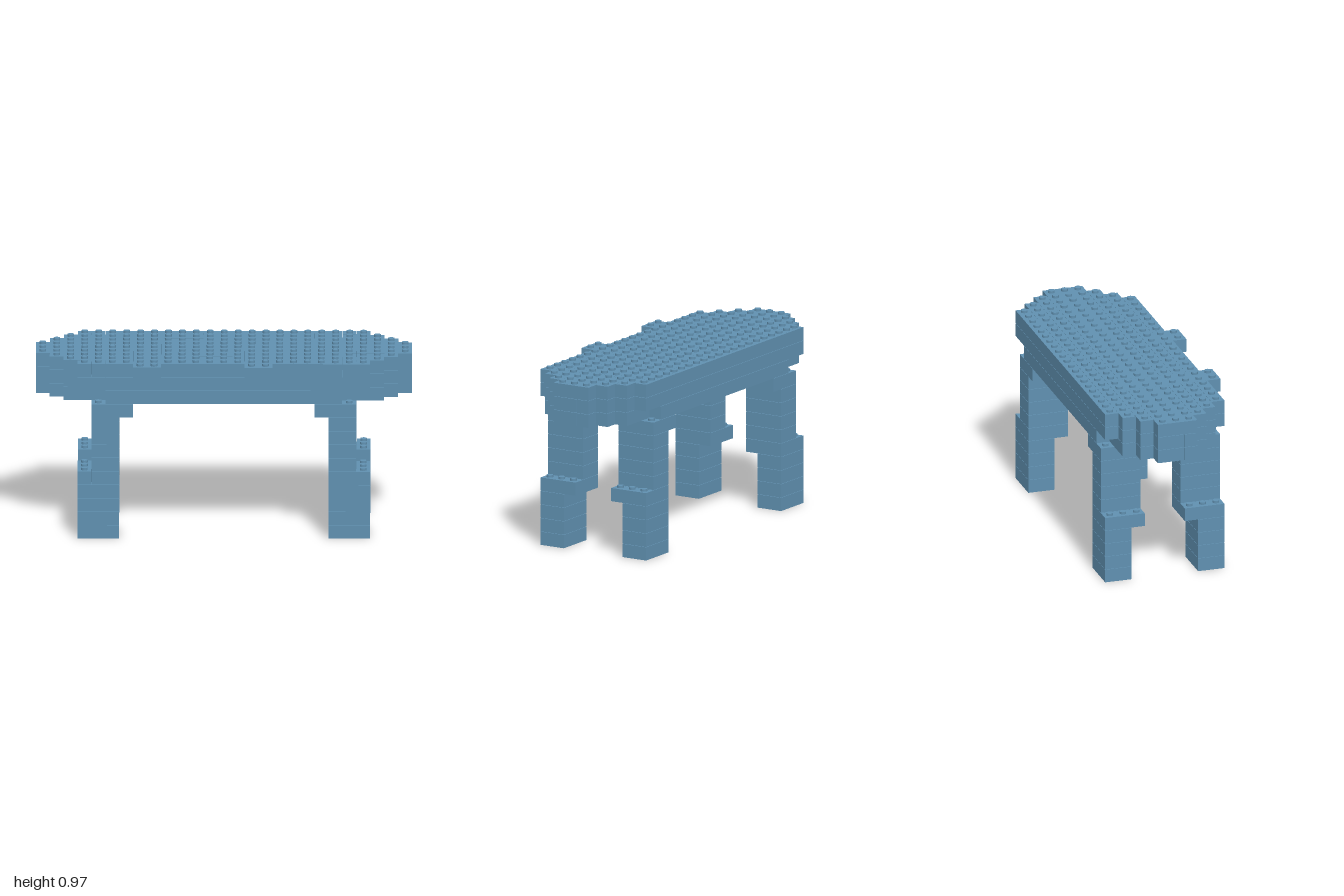
import * as THREE from 'three';
import { mergeGeometries } from 'three/addons/utils/BufferGeometryUtils.js';

const U = 2 / 27;      // one brick module
const GAP = 0.002;     // seam between bricks
const STUD_H = 0.012;

const blue = new THREE.MeshStandardMaterial({ color: 0x6090b0 });
blue.name = 'slate blue';

// Brick given by its bounds in modules, one layer high
function brick(x0, x1, layer, z0, z1) {
  return new THREE.BoxGeometry((x1 - x0) * U - GAP / 2, U - GAP, (z1 - z0) * U - GAP / 2)
    .translate((x0 + x1) / 2 * U, (layer + 0.5) * U, (z0 + z1) / 2 * U);
}

// Row of bricks divided at the listed x positions
function row(layer, z0, z1, cuts) {
  return cuts.slice(1).map((x, i) => brick(cuts[i], x, layer, z0, z1));
}

// Stud on top of a layer, at the centre of a module
function stud(x, top, z) {
  return new THREE.CylinderGeometry(0.0178, 0.0178, STUD_H + GAP, 16)
    .translate(x * U, top * U + (STUD_H - GAP) / 2, z * U);
}

function part(name, geometries) {
  const mesh = new THREE.Mesh(mergeGeometries(geometries), blue);
  mesh.name = name;
  return mesh;
}

// Stepped outline of the slab: half width for each one-module row from z = -5
const HALF = [10.5, 11.5, 12.5, 13.5, 13.5, 13.5, 12.5, 11.5, 10.5];

function topLayer() {
  const L = 12;
  return [
    // back edge
    ...row(L, -5, -4, [-10.5, -9.5, -8.5, -2.5, -1.5, 6.5]),
    ...row(L, -4, -3, [-11.5, 6.5]),
    brick(6.5, 8.5, L, -5, -3),
    ...row(L, -5, -4, [8.5, 9.5, 10.5]),
    brick(8.5, 11.5, L, -4, -3),
    // middle
    brick(-6.5, -4.5, L, -3, 5),
    ...[[-3, -2, 12.5], [-2, 1, 13.5], [1, 2, 12.5]].flatMap(([a, b, w]) => [
      brick(-w, -6.5, L, a, b),
      ...row(L, a, b, [-4.5, 1.5, 9.5, w]),
    ]),
    // front edge
    brick(1.5, 3.5, L, 2, 5),
    brick(-11.5, -6.5, L, 2, 3),
    brick(-4.5, 1.5, L, 2, 3),
    ...row(L, 2, 3, [3.5, 4.5, 8.5, 11.5]),
    ...row(L, 3, 4, [-10.5, -9.5, -8.5, -6.5]),
    brick(-4.5, 1.5, L, 3, 4),
    ...row(L, 3, 4, [3.5, 4.5, 8.5, 9.5, 10.5]),
  ];
}

function lowerLayers() {
  const out = [];
  HALF.forEach((w, i) => {
    const z = i - 5;
    const edge = i === 0 || i === 8;
    out.push(...row(11, z, z + 1, edge ? [-w, -8.5, w] : [-w, i % 2 ? -3.5 : 4.5, w]));
    // bottom layer is shorter along both long edges
    out.push(...row(10, z, z + 1, edge ? [-8.5, 8.5] : [-w, i % 2 ? 5.5 : -4.5, w]));
  });
  return out;
}

function topStuds() {
  const out = [];
  HALF.forEach((w, i) => {
    for (let x = -w + 0.5; x < w; x++) out.push(stud(x, 13, i - 4.5));
  });
  for (const x of [-6, -5, 2, 3]) out.push(stud(x, 13, 4.5));
  return out;
}

// side: +1 left, -1 right; outer and inner are the z limits of the leg
function leg(name, side, outer, inner) {
  const group = new THREE.Group();
  group.name = name;
  const dir = Math.sign(inner - outer);
  const box = (xa, xb, layer, za, zb) => brick(
    Math.min(side * xa, side * xb), Math.max(side * xa, side * xb), layer,
    Math.min(za, zb), Math.max(za, zb));

  const shin = [];
  for (let l = 0; l < 4; l++) shin.push(box(7.5, 10.5, l, outer, outer + 2 * dir));
  const knee = [box(7.5, 9.5, 4, outer, inner), box(9.5, 10.5, 4, outer, inner)];
  const thigh = [];
  for (let l = 5; l < 9; l++) thigh.push(box(7.5, 9.5, l, outer, inner));
  const bracket = [box(6.5, 9.5, 9, outer, inner)];

  const studs = [0.5, 1.5, 2.5].map(d => stud(side * 10, 5, outer + d * dir));
  studs.push(stud(side * 9, 10, outer + 0.5 * dir));

  group.add(part('shin', shin), part('knee', knee), part('thigh', thigh),
    part('bracket', bracket), part('legStuds', studs));
  return group;
}

export function createModel() {
  const model = new THREE.Group();
  model.name = 'brickTable';
  model.add(
    part('tableTop', topLayer()),
    part('tableUnderside', lowerLayers()),
    part('tableStuds', topStuds()));
  for (const [label, side] of [['Left', 1], ['Right', -1]]) {
    model.add(leg('front' + label + 'Leg', side, 4, 1));
    model.add(leg('back' + label + 'Leg', side, -5, -2));
  }
  return model;
}
